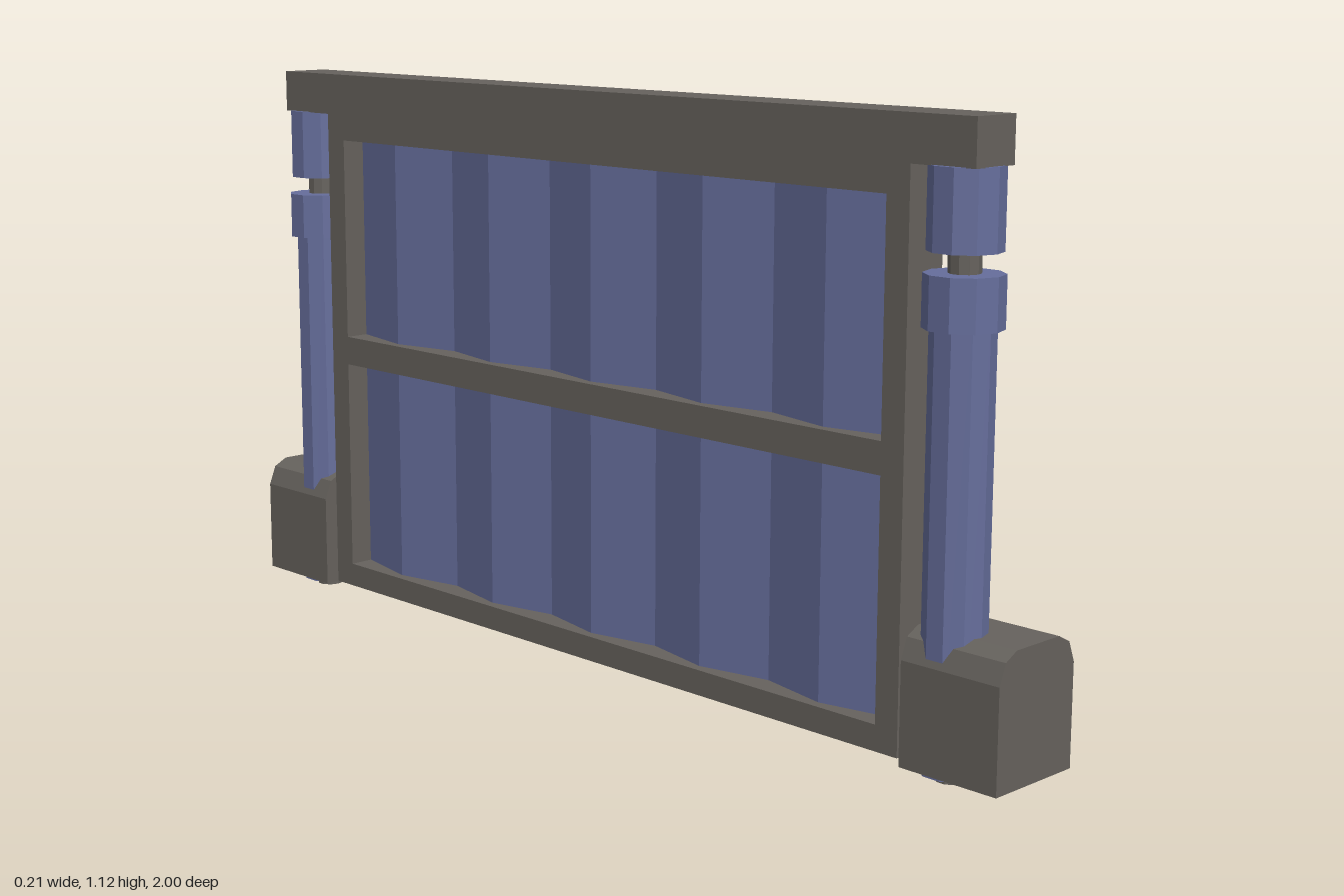
import * as THREE from 'three';

const grey = new THREE.MeshStandardMaterial({ color: 0x66625d, flatShading: true });
grey.name = 'warm grey';
const blue = new THREE.MeshStandardMaterial({ color: 0x666e9c, flatShading: true });
blue.name = 'slate blue';

const AXIS_X = -0.041; // centre plane of the posts and the panel

function add(parent, name, geometry, material, x = 0, y = 0, z = 0) {
  const mesh = new THREE.Mesh(geometry, material);
  mesh.name = name;
  mesh.position.set(x, y, z);
  parent.add(mesh);
  return mesh;
}

// Ten-sided upright cylinder between two heights
function upright(parent, name, radius, y0, y1, material) {
  add(parent, name, new THREE.CylinderGeometry(radius, radius, y1 - y0, 10), material, 0, (y0 + y1) / 2, 0);
}

function toVectors(points) {
  return points.map(([a, b]) => new THREE.Vector2(a, b));
}

function rectangle(Type, z0, z1, y0, y1) {
  return new Type(toVectors([[z0, y0], [z1, y0], [z1, y1], [z0, y1]]));
}

// Folded sheet running along z, with shallow zigzag pleats
function foldedSheet(z0, z1, y0, y1) {
  const folds = 10, amplitude = 0.015, thickness = 0.02;
  const outer = [], inner = [];
  for (let i = 0; i <= folds; i++) {
    const x = i % 2 ? -amplitude : amplitude;
    const z = z1 + (z0 - z1) * i / folds;
    outer.push([x + thickness / 2, -z]);
    inner.unshift([x - thickness / 2, -z]);
  }
  const shape = new THREE.Shape(toVectors([...outer, ...inner]));
  const geometry = new THREE.ExtrudeGeometry(shape, { depth: y1 - y0, bevelEnabled: false });
  geometry.rotateX(-Math.PI / 2);
  geometry.translate(0, y0, 0);
  return geometry;
}

export function createModel() {
  const model = new THREE.Group();
  model.name = 'barrier';

  // Top beam
  add(model, 'topBeam', new THREE.BoxGeometry(0.1, 0.083, 1.829), grey, AXIS_X, 1.0785, 0.003);

  // Frame with two openings, each filled by a folded sheet
  const zMin = -0.723, zMax = 0.732;
  const openings = [[0.075, 0.511], [0.57, 0.984]];
  const outline = rectangle(THREE.Shape, -0.775, 0.781, 0.027, 1.04);
  for (const [y0, y1] of openings) outline.holes.push(rectangle(THREE.Path, zMin, zMax, y0, y1));
  const frame = new THREE.ExtrudeGeometry(outline, { depth: 0.089, bevelEnabled: false });
  frame.translate(0, 0, -0.0445);
  frame.rotateY(-Math.PI / 2);
  add(model, 'frame', frame, grey, AXIS_X);
  openings.forEach(([y0, y1], i) =>
    add(model, i ? 'upperPanel' : 'lowerPanel', foldedSheet(zMin, zMax, y0, y1), blue, AXIS_X));

  // Foot block profile with bevelled shoulders
  const half = [[0.102, 0.019], [0.102, 0.207], [0.087, 0.245], [0.058, 0.26]];
  const profile = [...half, ...half.map(([x, y]) => [-x, y]).reverse()];
  const footGeometry = new THREE.ExtrudeGeometry(new THREE.Shape(toVectors(profile)), { depth: 0.204, bevelEnabled: false });
  footGeometry.translate(0, 0, -0.102);

  for (const [side, sign] of [['front', 1], ['back', -1]]) {
    add(model, side + 'Foot', footGeometry, grey, 0.003, 0, sign * 0.898);

    // Post: inner rod, outer tube, collar and cap
    const post = new THREE.Group();
    post.name = side + 'Post';
    post.position.set(AXIS_X, 0, sign * 0.862);
    model.add(post);
    upright(post, 'rod', 0.028, 0, 0.95, grey);
    upright(post, 'tube', 0.056, 0.014, 0.8, blue);
    upright(post, 'collar', 0.0687, 0.771, 0.862, blue);
    upright(post, 'cap', 0.064, 0.898, 1.038, blue);
  }
  return model;
}
